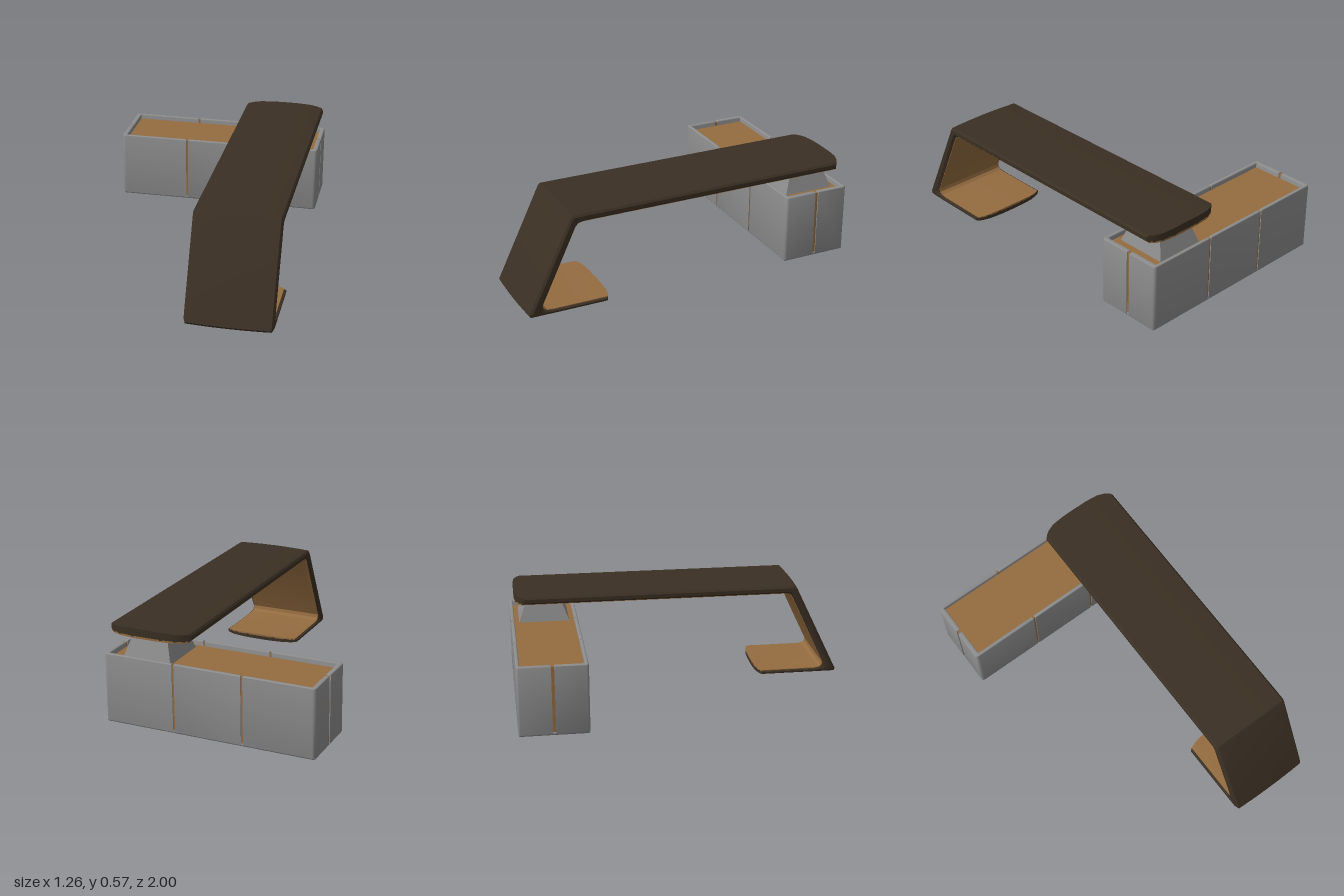
import * as THREE from 'three';
import { toCreasedNormals } from 'three/addons/utils/BufferGeometryUtils.js';

const material = (name, color) => {
  const m = new THREE.MeshStandardMaterial({ color });
  m.name = name;
  return m;
};

// Bench profile as [outer z, outer y, inner z, inner y], from the foot tip round to the seat tip
const STATIONS = [
  [0.5, 0.007, 0.5, 0.026], [0.62, 0.007, 0.62, 0.026], [0.86, 0.007, 0.86, 0.027],
  [0.95, 0.007, 0.893, 0.033], [0.985, 0.007, 0.91, 0.045], [0.994, 0.02, 0.915, 0.065],
  [0.738, 0.555, 0.712, 0.5], [0.727, 0.567, 0.695, 0.52], [0.67, 0.567, 0.66, 0.526],
  [-0.82, 0.567, -0.82, 0.526], [-0.978, 0.567, -0.978, 0.526],
];
const HALF_WIDTH = 0.2475;
const CENTRE_X = 0.3725;

// Point on a station: u across the width, t from outer to inner face, off = extra offset inward
function ribbonPoint(k, [u, t, off]) {
  const [oz, oy, iz, iy] = STATIONS[k];
  const len = Math.hypot(iz - oz, iy - oy);
  const s = t + off / len;
  const tip = k === 0 ? 0.035 : k === STATIONS.length - 1 ? 0.055 : 0;
  const z = oz + (iz - oz) * s + tip * Math.abs(u) ** 5;
  return [CENTRE_X + u * HALF_WIDTH, oy + (iy - oy) * s, z];
}

// Sweeps a closed loop (outer row, then inner row reversed) along the stations and caps both ends
function sweep(outer, inner) {
  const loop = [...outer, ...[...inner].reverse()];
  const n = loop.length, half = n / 2, last = STATIONS.length - 1;
  const pos = [], index = [];
  for (let k = 0; k <= last; k++) for (const p of loop) pos.push(...ribbonPoint(k, p));
  const quad = (a, b, c, d) => index.push(a, b, c, a, c, d);
  for (let k = 0; k < last; k++) {
    for (let j = 0; j < n; j++) {
      const j2 = (j + 1) % n;
      quad(k * n + j, k * n + j2, (k + 1) * n + j2, (k + 1) * n + j);
    }
  }
  const e = last * n;
  for (let i = 0; i < half - 1; i++) {
    quad(i, n - 1 - i, n - 2 - i, i + 1);
    quad(e + i, e + i + 1, e + n - 2 - i, e + n - 1 - i);
  }
  const g = new THREE.BufferGeometry();
  g.setAttribute('position', new THREE.Float32BufferAttribute(pos, 3));
  g.setIndex(index);
  return toCreasedNormals(g, 0.5);
}

// Plan outline extruded upward with a small bevel
function slab(shape, y0, y1, bevel) {
  const g = new THREE.ExtrudeGeometry(shape, {
    depth: y1 - y0 - 2 * bevel, bevelThickness: bevel, bevelSize: bevel,
    bevelOffset: -bevel, bevelSegments: 3, curveSegments: 5,
  });
  g.rotateX(-Math.PI / 2).translate(0, y0 + bevel, 0);
  return toCreasedNormals(g, 0.6);
}

function rectShape(x0, z0, x1, z1) {
  return new THREE.Shape([[x0, z0], [x1, z0], [x1, z1], [x0, z1]].map(p => new THREE.Vector2(...p)));
}

// L-shaped wall in one quadrant of the planter, with a rounded outer corner
function cornerShape(sx, sz) {
  const s = new THREE.Shape();
  s.moveTo(sx * 0.211, sz * 0.2);
  s.lineTo(sx * 0.61, sz * 0.2);
  s.quadraticCurveTo(sx * 0.63, sz * 0.2, sx * 0.63, sz * 0.18);
  s.lineTo(sx * 0.63, sz * 0.009);
  s.lineTo(sx * 0.602, sz * 0.009);
  s.lineTo(sx * 0.602, sz * 0.18);
  s.lineTo(sx * 0.211, sz * 0.18);
  s.closePath();
  return s;
}

export function createModel() {
  const grey = material('concrete grey', 0x8c8c8c);
  const wood = material('warm wood', 0x946c40);
  const dark = material('dark brown shell', 0x3a2f23);
  const model = new THREE.Group();
  const add = (parent, name, geometry, mat, x = 0, y = 0, z = 0) => {
    const m = new THREE.Mesh(geometry, mat);
    m.name = name;
    m.position.set(x, y, z);
    parent.add(m);
    return m;
  };

  // Bent bench: dark crowned shell with a wood lining on the inside of the bend
  const bench = new THREE.Group();
  bench.name = 'bench';
  const cols = [-0.96, -0.85, -0.66, -0.33, 0, 0.33, 0.66, 0.85, 0.96];
  const crown = u => -0.007 * (1 - u * u);
  add(bench, 'benchShell', sweep(
    [[-1, 0.25, 0], ...cols.map(u => [u, 0, crown(u)]), [1, 0.25, 0]],
    [[-1, 0.75, 0], ...cols.map(u => [u, 1, 0]), [1, 0.75, 0]],
  ), dark);
  const inset = cols.map(u => u * 0.985);
  add(bench, 'benchLining', sweep(
    inset.map(u => [u, 1, -0.004]),
    inset.map(u => [u, 1, 0.004 + 0.004 * (1 - u * u)]),
  ), wood);

  // Planter box: base, split walls, wooden core showing at the top and in the seams
  const planter = new THREE.Group();
  planter.name = 'planter';
  planter.position.z = -0.8;
  add(planter, 'planterBase', slab(rectShape(-0.626, -0.196, 0.626, 0.196), 0, 0.02, 0.006), grey);
  add(planter, 'planterCore', new THREE.BoxGeometry(1.206, 0.37, 0.362), wood, 0, 0.195, 0);
  for (const s of [-1, 1]) {
    for (const t of [-1, 1]) {
      add(planter, 'cornerWall', slab(cornerShape(s, t), 0.004, 0.41, 0.006), grey);
      add(planter, 'sideSeam', new THREE.BoxGeometry(0.026, 0.395, 0.014), wood, s * 0.205, 0.2055, t * 0.188);
    }
    add(planter, 'middleWall',
      slab(rectShape(-0.199, s * 0.19 - 0.01, 0.199, s * 0.19 + 0.01), 0.004, 0.41, 0.006), grey);
    add(planter, 'endSeam', new THREE.BoxGeometry(0.02, 0.395, 0.03), wood, s * 0.614, 0.2055, 0);
  }

  // Tapered block carrying the bench on the planter
  const block = new THREE.BoxGeometry(1, 0.16, 1);
  const p = block.attributes.position;
  for (let i = 0; i < p.count; i++) {
    const top = p.getY(i) > 0;
    p.setX(i, p.getX(i) * (top ? 0.2 : 0.3));
    p.setZ(i, p.getZ(i) * (top ? 0.19 : 0.31));
  }
  block.computeVertexNormals();
  add(planter, 'supportBlock', block, grey, 0.39, 0.45, 0);

  model.add(bench, planter);
  return model;
}
